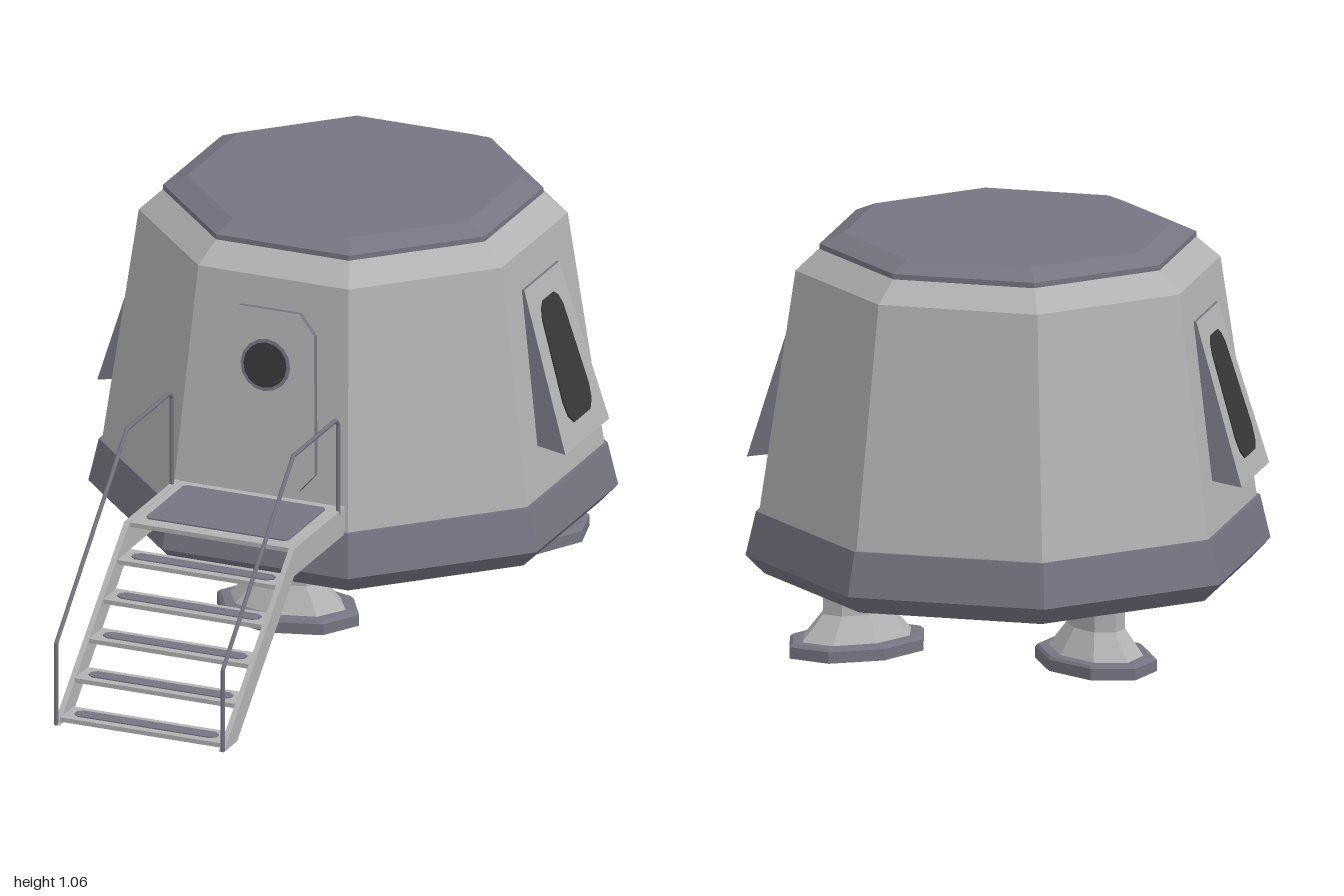
import * as THREE from 'three';

const mat = (name, color) => {
  const m = new THREE.MeshStandardMaterial({ color });
  m.name = name;
  return m;
};

export function createModel() {
  const grey = mat('light grey', 0xb2b2b2);
  const slate = mat('slate', 0x757582);
  const dark = mat('dark glass', 0x383838);
  const model = new THREE.Group();
  const CZ = -0.37; // centre of the cabin

  const add = (parent, name, geo, material, x = 0, y = 0, z = 0) => {
    const m = new THREE.Mesh(geo, material);
    m.name = name;
    m.position.set(x, y, z);
    parent.add(m);
    return m;
  };
  const group = (parent, name) => {
    const g = new THREE.Group();
    g.name = name;
    parent.add(g);
    return g;
  };
  const flat = (geo) => {
    const g = geo.index ? geo.toNonIndexed() : geo;
    g.computeVertexNormals();
    return g;
  };
  // Eight-sided ring stack; profile gives [apothem, y] from bottom to top
  const octagon = (profile, start = Math.PI / 8) => flat(new THREE.LatheGeometry(
    profile.map(([a, y]) => new THREE.Vector2(a / (start ? Math.cos(Math.PI / 8) : 1), y)), 8, start));
  const plate = (points, depth) => new THREE.ExtrudeGeometry(
    new THREE.Shape(points.map(([x, y]) => new THREE.Vector2(x, y))), { depth, bevelEnabled: false });
  // Completes a right-hand half outline with its mirror
  const mirrored = (half) => [...half, ...half.slice().reverse().map(([x, y]) => [-x, y])];

  // Cabin
  const cabin = group(model, 'cabin');
  cabin.position.z = CZ;
  add(cabin, 'underside', octagon([[0, 0.165], [0.585, 0.165]]), dark);
  add(cabin, 'skirt', octagon([[0.585, 0.165], [0.63, 0.215], [0.605, 0.33], [0.59, 0.33]]), slate);
  add(cabin, 'hull', octagon([[0.597, 0.33], [0.51, 0.965], [0.452, 1.02], [0.4, 1.02]]), grey);
  add(cabin, 'roofCap', octagon([[0.42, 1.018], [0.452, 1.02], [0.452, 1.034], [0.395, 1.06], [0, 1.06]]), slate);

  // Door lying on the sloping front face, origin at its lower edge
  const door = group(cabin, 'door');
  door.position.set(0, 0.42, 0.585);
  door.rotation.x = -Math.atan(0.137);
  add(door, 'doorPanel', plate(mirrored([[0.11, 0], [0.154, 0.05], [0.13, 0.417], [0.085, 0.469]]), 0.018),
    [grey, slate]);
  const disc = (r, h) => new THREE.CylinderGeometry(r, r, h, 16).rotateX(Math.PI / 2);
  add(door, 'portholeRim', disc(0.069, 0.006), slate, 0, 0.322, 0.019);
  add(door, 'porthole', disc(0.06, 0.008), dark, 0, 0.322, 0.02);

  // Wedge-shaped side windows
  const glass = mirrored([[0.05, 0.058], [0.072, 0.08], [0.08, 0.12], [0.064, 0.345], [0.052, 0.372], [0.034, 0.387]]);
  for (const side of [1, -1]) {
    const win = group(cabin, side > 0 ? 'leftWindow' : 'rightWindow');
    win.rotation.y = side * Math.PI / 2;
    const wedge = new THREE.BoxGeometry(1, 1, 1);
    const p = wedge.attributes.position;
    for (let i = 0; i < p.count; i++) {
      const top = p.getY(i) > 0, out = p.getZ(i) > 0;
      p.setXYZ(i, Math.sign(p.getX(i)) * (top ? 0.112 : 0.14),
        top ? 0.87 : out ? 0.445 : 0.475, out ? (top ? 0.53 : 0.658) : 0.48);
    }
    wedge.computeVertexNormals();
    add(win, 'windowFrame', wedge, [slate, slate, slate, slate, grey, slate]);
    const pane = add(win, 'windowGlass', plate(glass, 0.006), dark, 0, 0.445, 0.656);
    pane.rotation.x = -Math.atan(0.128 / 0.425);
  }

  // Three legs, wider across than deep
  for (const [name, x, z, turn] of [['frontLeg', 0, 0.047, 0],
    ['backLeftLeg', 0.318, -0.693, -Math.PI / 4], ['backRightLeg', -0.318, -0.693, Math.PI / 4]]) {
    const leg = group(model, name);
    leg.position.set(x, 0, z);
    leg.rotation.y = -turn;
    const stalk = octagon([[0.165, 0.035], [0.1, 0.105], [0.1, 0.17]], 0);
    const pad = octagon([[0, 0], [0.2, 0], [0.2, 0.03], [0.19, 0.038], [0, 0.038]], 0);
    add(leg, 'legStalk', stalk.scale(1, 1, 0.65), grey);
    add(leg, 'footPad', pad.scale(1, 1, 0.7), slate);
  }

  // Stairs
  const stairs = group(model, 'stairs');
  const side = [[0.225, 0.325], [0.55, 0.325], [0.915, 0], [1, 0], [0.55, 0.4], [0.225, 0.4]];
  const railPath = [[0.995, 0], [0.995, 0.225], [0.545, 0.655], [0.275, 0.655], [0.258, 0.64], [0.258, 0.39]];
  for (const s of [1, -1]) {
    const stringer = plate(side, 0.015).rotateY(-Math.PI / 2);
    add(stairs, 'stringer', stringer, grey, s > 0 ? 0.239 : -0.224);
    const path = new THREE.CurvePath();
    for (let i = 1; i < railPath.length; i++) {
      const [a, b] = [railPath[i - 1], railPath[i]].map(([z, y]) => new THREE.Vector3(0, y, z));
      path.add(new THREE.LineCurve3(a, b));
    }
    // One straight tube per run keeps the corners crisp
    const rail = group(stairs, 'handrail');
    rail.position.x = s * 0.234;
    for (const run of path.curves) add(rail, 'railRun', new THREE.TubeGeometry(run, 1, 0.006, 6), slate);
    for (const [z, y] of railPath.slice(1, -1)) add(rail, 'railJoint', new THREE.SphereGeometry(0.006, 6, 4), slate, 0, y, z);
  }
  add(stairs, 'platform', new THREE.BoxGeometry(0.45, 0.012, 0.32), grey, 0, 0.392, 0.385);
  const mat1 = plate([[-0.19, 0.255], [0.19, 0.255], [0.2, 0.265], [0.2, 0.495], [0.19, 0.505],
    [-0.19, 0.505], [-0.2, 0.495], [-0.2, 0.265]], 0.005).rotateX(Math.PI / 2);
  add(stairs, 'platformMat', mat1, slate, 0, 0.402, 0);

  const grip = [[-0.185, -0.02], [0.185, -0.02], [0.2, -0.008], [0.2, 0.008], [0.185, 0.02],
    [-0.185, 0.02], [-0.2, 0.008], [-0.2, -0.008]];
  for (let i = 0; i < 5; i++) {
    const y = 0.318 - i * 0.076, z = 0.585 + i * 0.091;
    add(stairs, 'tread', new THREE.BoxGeometry(0.45, 0.012, 0.084), grey, 0, y, z);
    add(stairs, 'treadGrip', plate(grip, 0.005).rotateX(Math.PI / 2), slate, 0, y + 0.009, z);
  }
  return model;
}
